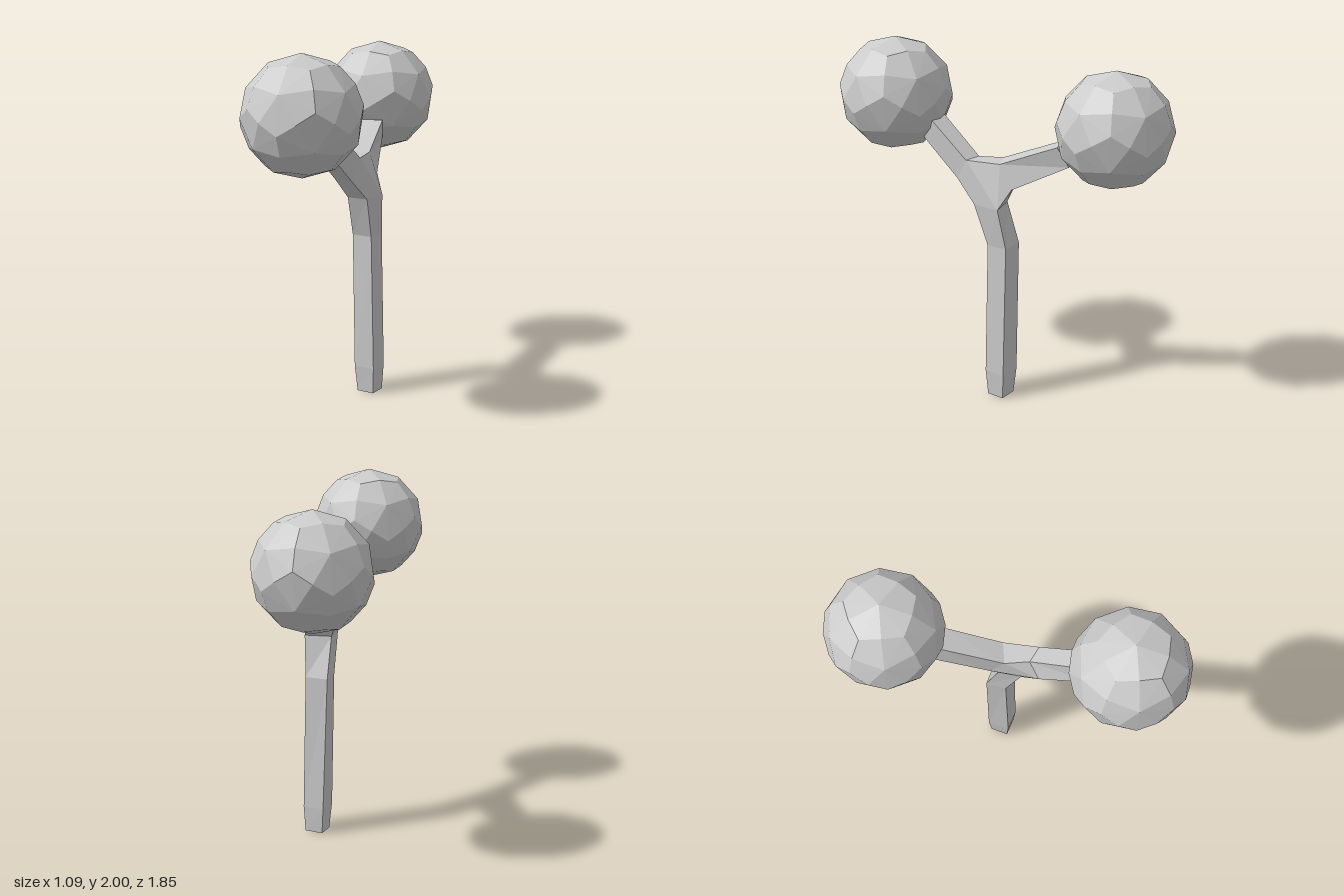
import * as THREE from 'three';
import { ConvexGeometry } from 'three/addons/geometries/ConvexGeometry.js';

const material = new THREE.MeshStandardMaterial({ color: 0xcccccc, flatShading: true });
const V = (p) => new THREE.Vector3(...p);

function part(name, geometry) {
  const mesh = new THREE.Mesh(geometry, material);
  mesh.name = name;
  return mesh;
}

function fromTriangles(points) {
  const geometry = new THREE.BufferGeometry().setFromPoints(points);
  geometry.computeVertexNormals();
  return geometry;
}

// Skins four-cornered rings (counter-clockwise seen from the far end) and caps both ends
function loft(rings) {
  const r = rings.map((ring) => ring.map(V));
  const out = [];
  for (let k = 0; k < r.length - 1; k++) {
    for (let i = 0; i < 4; i++) {
      const j = (i + 1) % 4;
      out.push(r[k][i], r[k][j], r[k + 1][j], r[k][i], r[k + 1][j], r[k + 1][i]);
    }
  }
  const [a, b, c, d] = r[0];
  const [e, f, g, h] = r[r.length - 1];
  out.push(a, c, b, a, d, c, e, f, g, e, g, h);
  return fromTriangles(out);
}

// Faceted ball: icosahedron with a vertex at the top, each face split in six and pushed to the sphere
function ballGeometry(radius) {
  const top = new THREE.Vector3(0, 1, 0);
  const bottom = new THREE.Vector3(0, -1, 0);
  const lat = Math.atan(0.5);
  const ring = (sign, offset) => Array.from({ length: 5 }, (_, k) => {
    const a = (k + offset) * Math.PI * 0.4;
    return new THREE.Vector3(Math.cos(lat) * Math.cos(a), sign * Math.sin(lat), Math.cos(lat) * Math.sin(a));
  });
  const upper = ring(1, 0);
  const lower = ring(-1, 0.5);
  const out = [];
  const push = (...v) => out.push(...v.map((p) => p.clone().normalize().multiplyScalar(radius)));
  const split = (...face) => {
    const centre = face[0].clone().add(face[1]).add(face[2]);
    for (let i = 0; i < 3; i++) {
      const a = face[i], b = face[(i + 1) % 3];
      const mid = a.clone().add(b);
      push(a, mid, centre, mid, b, centre);
    }
  };
  for (let k = 0; k < 5; k++) {
    const n = (k + 1) % 5;
    split(top, upper[n], upper[k]);
    split(upper[k], upper[n], lower[k]);
    split(lower[k], upper[n], lower[n]);
    split(bottom, lower[k], lower[n]);
  }
  return fromTriangles(out);
}

export function createModel() {
  const model = new THREE.Group();
  model.name = 'tree';

  // Trunk rings: front left, front right, back right, back left
  const trunkTop = [[0.07, 1.15, 0.05], [0.19, 1.15, 0.03], [0.17, 1.15, -0.13], [0.03, 1.15, -0.07]];
  model.add(part('trunk', loft([
    [[0.07, 0, -0.04], [0.17, 0, -0.055], [0.155, 0, -0.155], [0.05, 0, -0.14]],
    [[0.06, 0.15, -0.025], [0.18, 0.15, -0.045], [0.16, 0.15, -0.165], [0.035, 0.15, -0.15]],
    [[0.04, 0.92, -0.03], [0.16, 0.92, -0.045], [0.14, 0.92, -0.165], [0.01, 0.92, -0.14]],
    trunkTop,
  ])));

  // Branch rings: two lower corners, then two upper corners
  const frontStart = [[0.07, 1.27, 0.16], [0.19, 1.27, 0.16], [0.19, 1.39, 0.09], [0.09, 1.39, 0.09]];
  const backStart = [[0.1, 1.26, -0.17], [-0.02, 1.25, -0.09], [0.01, 1.39, -0.02], [0.11, 1.39, -0.09]];
  model.add(part('frontBranch', loft([
    frontStart,
    [[0.12, 1.51, 0.45], [0.23, 1.51, 0.45], [0.23, 1.61, 0.37], [0.12, 1.61, 0.37]],
  ])));
  model.add(part('backBranch', loft([
    backStart,
    [[-0.07, 1.41, -0.43], [-0.18, 1.41, -0.37], [-0.14, 1.52, -0.32], [-0.03, 1.52, -0.38]],
  ])));

  // Fork joining the trunk to both branches
  model.add(part('fork', new ConvexGeometry([...trunkTop, ...frontStart, ...backStart].map(V))));

  // Ball-shaped crowns
  const crown = ballGeometry(0.32);
  for (const [name, position] of [['frontCrown', [0.23, 1.68, 0.605]], ['backCrown', [-0.232, 1.625, -0.605]]]) {
    const mesh = part(name, crown);
    mesh.position.set(...position);
    model.add(mesh);
  }
  return model;
}
